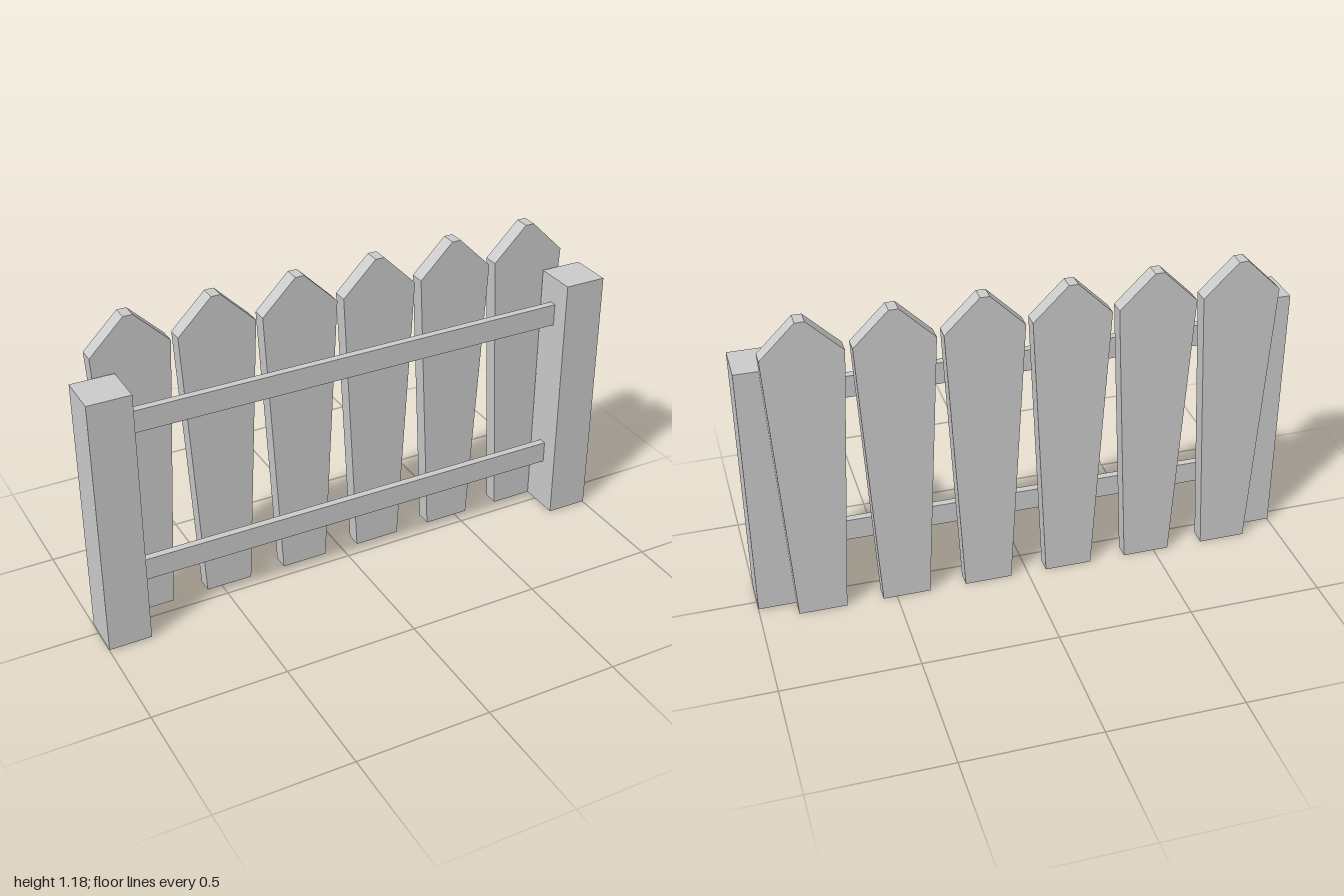
import * as THREE from 'three';

const material = new THREE.MeshStandardMaterial({ color: 0xcccccc, flatShading: true });

export function createModel() {
  const fence = new THREE.Group();
  fence.name = 'picketFence';

  const add = (name, geometry, x, y, z) => {
    const mesh = new THREE.Mesh(geometry, material);
    mesh.name = name;
    mesh.position.set(x, y, z);
    fence.add(mesh);
  };

  // Square end posts
  const post = new THREE.BoxGeometry(0.158, 0.983, 0.16);
  add('leftPost', post, 0.921, 0.4955, 0.032);
  add('rightPost', post, -0.921, 0.4955, 0.032);

  // Thin rails between the posts
  const rail = new THREE.BoxGeometry(1.684, 0.084, 0.028);
  add('lowerRail', rail, 0, 0.242, 0.028);
  add('upperRail', rail, 0, 0.842, 0.028);

  // Tapered pickets with blunt pointed tops
  const outline = [
    [-0.0875, 0], [0.0875, 0], [0.143, 1.058],
    [0.017, 1.183], [-0.017, 1.183], [-0.143, 1.058],
  ].map(([x, y]) => new THREE.Vector2(x, y));
  const picket = new THREE.ExtrudeGeometry(new THREE.Shape(outline), { depth: 0.058, bevelEnabled: false });
  for (let i = 0; i < 6; i++) {
    add(`picket${i + 1}`, picket, -0.003 + (i - 2.5) * 0.3107, 0, -0.111);
  }

  return fence;
}
